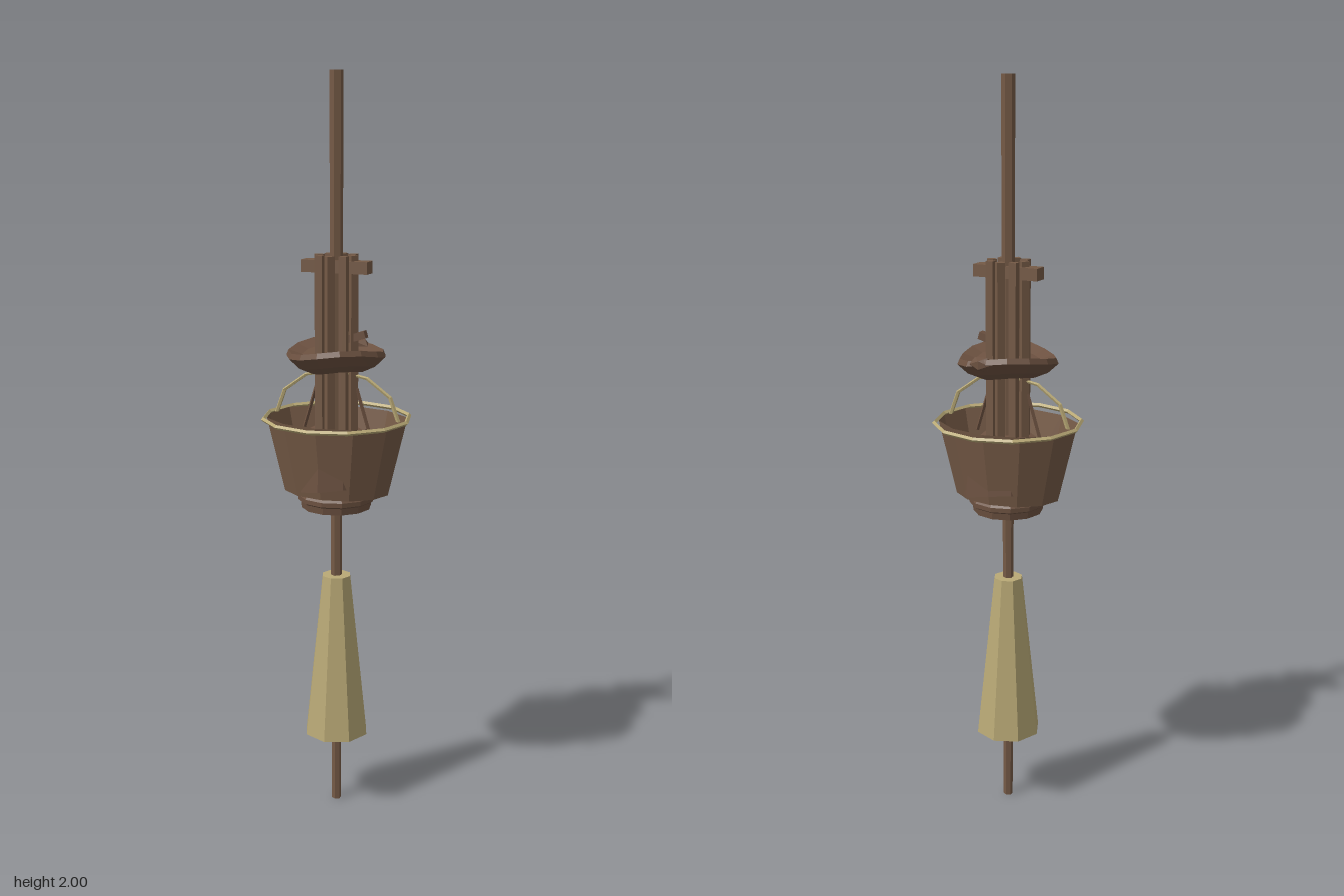
import * as THREE from 'three';

const flat = (name, color) => {
  const m = new THREE.MeshStandardMaterial({ color, flatShading: true, side: THREE.DoubleSide });
  m.name = name;
  return m;
};

export function createModel() {
  const wood = flat('brown wood', 0x755a46);
  const darkWood = flat('dark wood', 0x6c5140);
  const tan = flat('tan metal', 0xb9a976);
  const model = new THREE.Group();
  model.name = 'bucketStaff';

  const add = (name, geometry, material, x = 0, y = 0, z = 0) => {
    const mesh = new THREE.Mesh(geometry, material);
    mesh.name = name;
    mesh.position.set(x, y, z);
    model.add(mesh);
    return mesh;
  };
  const lathe = (points, sides) =>
    new THREE.LatheGeometry(points.map(([r, y]) => new THREE.Vector2(r, y)), sides);

  // Tapered pole and the tan grip around it
  add('pole', new THREE.CylinderGeometry(0.018, 0.013, 2, 6), wood, 0, 1, 0);
  add('grip', new THREE.CylinderGeometry(0.04, 0.09, 0.46, 8), tan, 0, 0.44, 0);

  // Oval open bucket with an inner floor
  const bucket = add('bucket', lathe([[0.001, 0.91], [0.147, 0.91], [0.196, 1.11]], 12), wood);
  bucket.scale.z = 0.75;

  // Stepped collar under the bucket
  add('collar', lathe([[0.001, 0.865], [0.094, 0.865], [0.096, 0.883], [0.104, 0.888],
    [0.104, 0.9], [0.096, 0.912]], 12), darkWood);

  // Round rim, wider than the bucket from front to back
  const rim = add('rim', new THREE.TorusGeometry(0.196, 0.006, 4, 12), tan, 0, 1.11, 0);
  rim.rotation.x = Math.PI / 2;

  // Arched handle
  const handle = add('handle', new THREE.TorusGeometry(0.174, 0.006, 5, 6, Math.PI), tan, 0, 1.112, 0);
  handle.scale.y = 0.72;

  // Ring of square posts around the pole
  for (let i = 0; i < 8; i++) {
    const a = (i * Math.PI) / 4;
    const post = add('post', new THREE.CylinderGeometry(0.0145, 0.0145, 0.52, 4), wood,
      Math.sin(a) * 0.047, 1.28, Math.cos(a) * 0.047);
    post.rotation.y = a;
  }
  add('crossbar', new THREE.BoxGeometry(0.184, 0.032, 0.04), wood, 0, 1.51, 0);

  // Uneven solid dish, bent by a rule
  const uneven = (geometry, amount, lift) => {
    const p = geometry.attributes.position;
    for (let i = 0; i < p.count; i++) {
      const x = p.getX(i), z = p.getZ(i), r = Math.hypot(x, z);
      const a = Math.atan2(x, z);
      const k = 1 + amount * (Math.sin(3 * a + 0.6) + 0.7 * Math.cos(5 * a));
      p.setXYZ(i, x * k, p.getY(i) + lift * r * Math.sin(2 * a + 3 * r), z * k);
    }
    geometry.computeVertexNormals();
    return geometry;
  };
  add('dish', uneven(lathe([[0.001, 1.238], [0.07, 1.238], [0.105, 1.256], [0.132, 1.284],
    [0.126, 1.298], [0.09, 1.284], [0.001, 1.28]], 14), 0.025, 0.09), darkWood);
  const lump = add('dishLump', new THREE.IcosahedronGeometry(0.021, 0), darkWood, 0.02, 1.287, -0.113);
  lump.scale.x = 1.6;

  // Short twig resting above the dish
  const twig = add('twig', new THREE.BoxGeometry(0.085, 0.02, 0.02), darkWood, 0.042, 1.325, 0);
  twig.rotation.z = 0.3;

  // Rough clump inside the bucket at the foot of the posts
  add('clump', uneven(lathe([[0.125, 0.93], [0.12, 1.0], [0.105, 1.05], [0.075, 1.075],
    [0.001, 1.075]], 12), 0.04, 0.1), darkWood);

  // Slim props leaning against the posts
  for (const side of [-1, 1]) {
    const prop = add('prop', new THREE.CylinderGeometry(0.005, 0.005, 0.12, 4), darkWood, side * 0.075, 1.135, 0);
    prop.rotation.z = side * 0.3;
  }
  return model;
}
